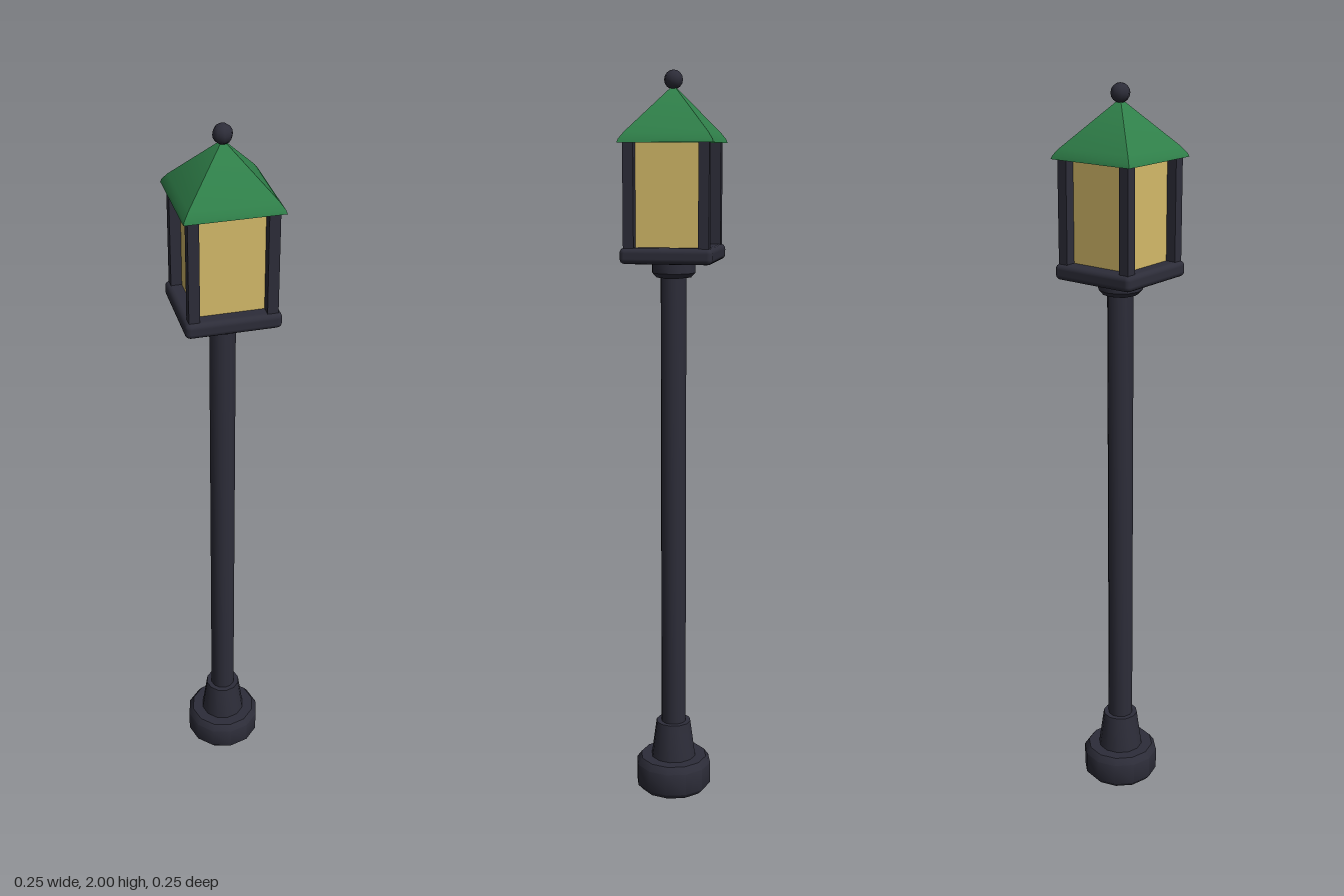
import * as THREE from 'three';
import { toCreasedNormals } from 'three/addons/utils/BufferGeometryUtils.js';
import { RoundedBoxGeometry } from 'three/addons/geometries/RoundedBoxGeometry.js';

export function createModel() {
  const group = new THREE.Group();
  const material = (name, color) => {
    const m = new THREE.MeshStandardMaterial({ color });
    m.name = name;
    return m;
  };
  const iron = material('dark iron', 0x2d2d39);
  const green = material('roof green', 0x2f7f49);
  const amber = material('amber glass', 0xd4ba69);

  const add = (name, geometry, mat, x = 0, y = 0, z = 0) => {
    const mesh = new THREE.Mesh(geometry, mat);
    mesh.name = name;
    mesh.position.set(x, y, z);
    group.add(mesh);
  };
  // Turned part from [radius, height] pairs, listed bottom to top
  const turned = (profile, sides, crease = 0.7) => toCreasedNormals(
    new THREE.LatheGeometry(profile.map(([r, y]) => new THREE.Vector2(r, y)), sides), crease);

  // Foot, tapered socket and pole
  add('foot', turned([[0, 0], [0.094, 0], [0.107, 0.015], [0.107, 0.077], [0.094, 0.095], [0, 0.095]], 12), iron);
  add('socket', turned([[0, 0.09], [0.064, 0.09], [0.049, 0.2], [0, 0.2]], 12), iron);
  add('pole', turned([[0, 0.19], [0.035, 0.19], [0.035, 1.48], [0, 1.48]], 12), iron);
  add('collar', turned([[0, 1.465], [0.048, 1.465], [0.059, 1.477], [0.059, 1.51], [0, 1.51]], 12), iron);

  // Lantern floor, glass core and four corner posts
  add('lanternFloor', new RoundedBoxGeometry(0.246, 0.042, 0.246, 2, 0.014), iron, 0, 1.527, 0);
  add('glass', new THREE.BoxGeometry(0.17, 0.28, 0.17), amber, 0, 1.68, 0);
  for (const sx of [-1, 1]) {
    for (const sz of [-1, 1]) {
      add('cornerPost', new THREE.BoxGeometry(0.028, 0.28, 0.028), iron, sx * 0.099, 1.68, sz * 0.099);
    }
  }

  // Square hipped roof with a steeper eave, and its ball finial
  const s = Math.SQRT2;
  const roof = turned([[0, 1.815], [0.125 * s, 1.815], [0.122 * s, 1.824], [0.109 * s, 1.842], [0.006 * s, 1.955], [0, 1.957]], 4);
  roof.rotateY(Math.PI / 4);
  add('roof', roof, green);
  add('finial', new THREE.SphereGeometry(0.025, 8, 8), iron, 0, 1.975, 0);

  return group;
}
